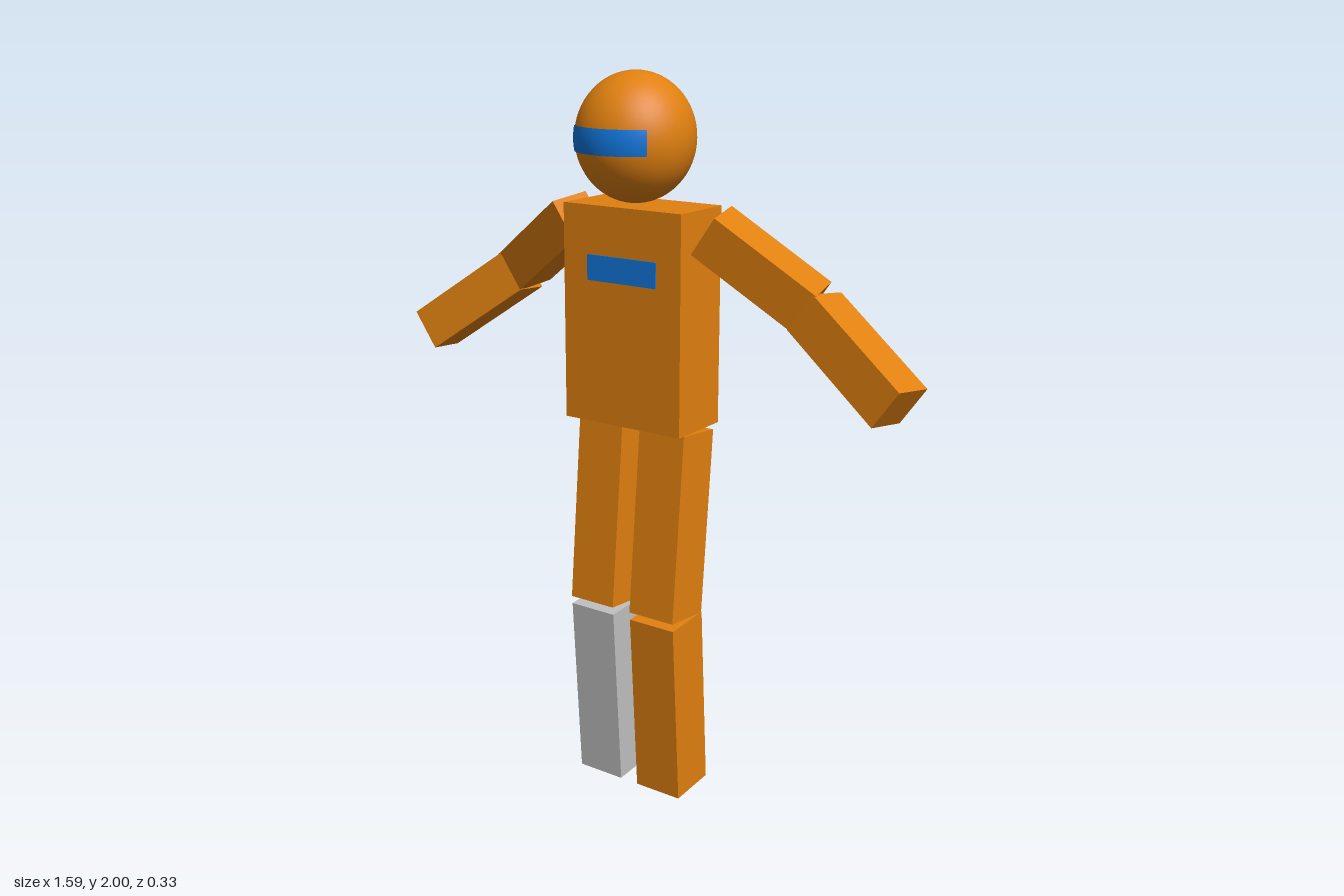
import * as THREE from 'three';

export function createModel() {
  const model = new THREE.Group();
  const mat = (name, color) => {
    const m = new THREE.MeshStandardMaterial({ color });
    m.name = name;
    return m;
  };
  const orange = mat('orange', 0xe08010);
  const grey = mat('light grey', 0xc0c0c0);
  const blue = mat('blue', 0x1177dd);

  const add = (name, geometry, material, x, y, z) => {
    const mesh = new THREE.Mesh(geometry, material);
    mesh.name = name;
    mesh.position.set(x, y, z);
    model.add(mesh);
    return mesh;
  };
  const box = (w, h, d) => new THREE.BoxGeometry(w, h, d);

  // Head: slightly tall ball
  const head = add('head', new THREE.SphereGeometry(0.157, 48, 32), orange, 0, 1.833, 0.003);
  head.scale.y = 0.167 / 0.157;

  // Visor: thin curved band just over the front of the head
  const visor = add('visor', new THREE.SphereGeometry(
    0.161, 24, 6, Math.PI / 2 - 0.79, 1.58, Math.PI / 2 - 0.193, 0.386), blue, 0, 1.833, 0.003);
  visor.scale.y = head.scale.y;

  // Torso and chest plate
  add('torso', box(0.37, 0.583, 0.187), orange, 0, 1.3685, -0.0245);
  add('chestPlate', box(0.217, 0.068, 0.006), blue, 0.002, 1.497, 0.07);

  for (const s of [1, -1]) {
    const side = s > 0 ? 'left' : 'right';

    // Arms slope down, with the forearm bent forward
    const armPart = (name, length, bend, x, y, z) => {
      const part = add(side + name, box(length, 0.12, 0.12), orange, s * x, y, z);
      part.rotation.set(0, s * bend, s * -0.611, 'ZYX');
    };
    armPart('UpperArm', 0.32, 0.227, 0.338, 1.52, -0.068);
    armPart('Forearm', 0.345, -0.184, 0.6135, 1.3245, -0.071);

    // Legs with slightly bent knees; the right shin is grey
    add(side + 'Thigh', box(0.143, 0.521, 0.143), orange, s * 0.1, 0.802, -0.0215).rotation.x = -0.092;
    add(side + 'Shin', box(0.143, 0.5275, 0.143), s > 0 ? orange : grey,
      s * 0.1, 0.268, -0.0175).rotation.x = 0.0655;
  }
  return model;
}
